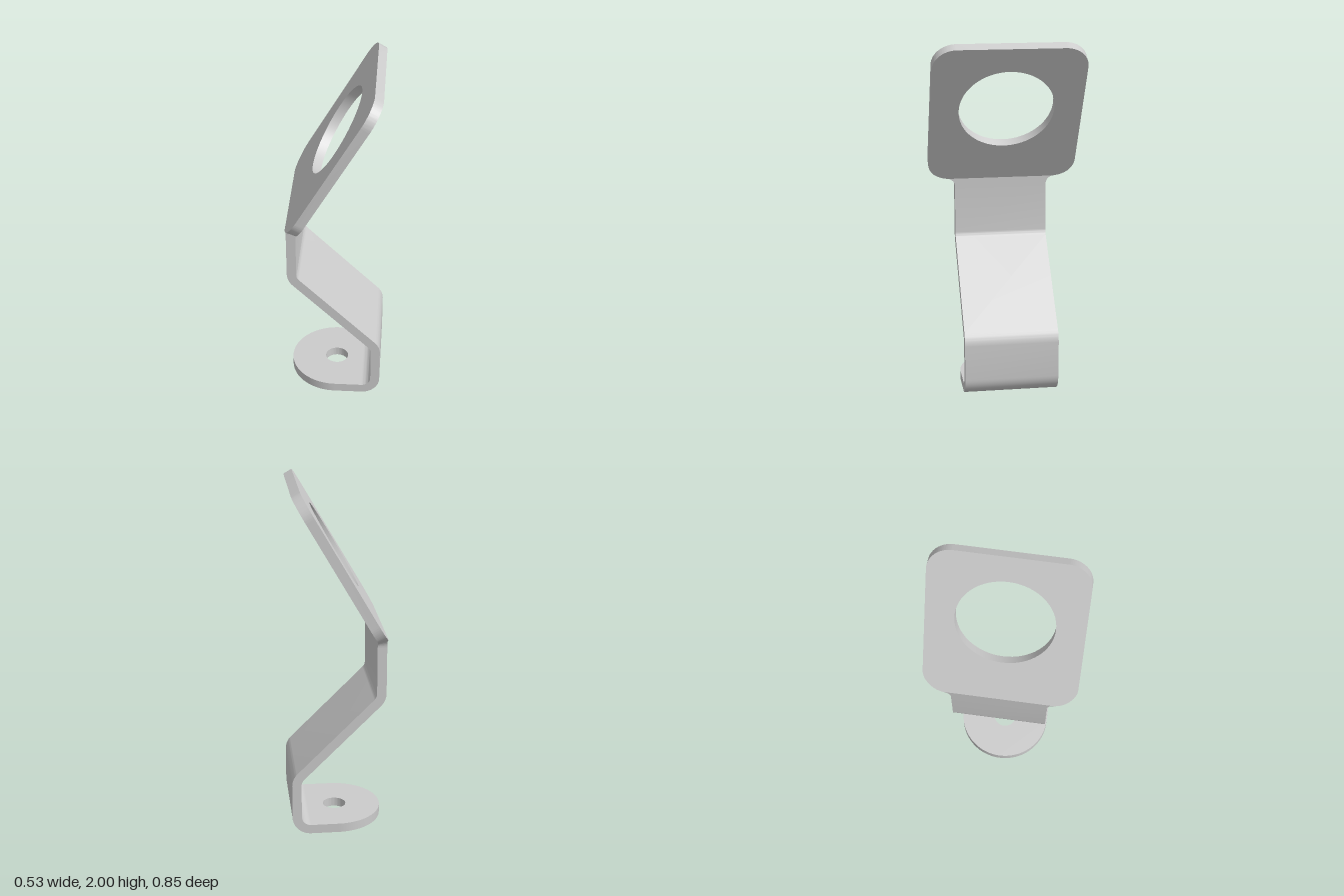
import * as THREE from 'three';
import { toCreasedNormals } from 'three/addons/utils/BufferGeometryUtils.js';

const T = 0.053, H = T / 2;      // sheet thickness and half of it
const W = 0.2665;                // half width of the strip
const BEND = 0.08;               // centreline bend radius
const XS = 0.239;                // centreline x of the upright runs
const TOP = 1.17;                // height of the sharp upper bend
const PW = 0.425, PL = 0.943, PR = 0.133; // plate half width, length, corner radius
const FIL = 0.053;               // fillet between strip and plate
const MITRE = Math.tan(Math.PI / 12);

const material = new THREE.MeshStandardMaterial({ color: 0xcccccc });

function addMesh(group, name, geometry) {
  const mesh = new THREE.Mesh(toCreasedNormals(geometry, 0.5), material);
  mesh.name = name;
  group.add(mesh);
}

// Sheet piece: shape drawn as (z, distance along u), centred on its mid-plane.
// mitre slants the edge at y = 0 towards one face.
function sheet(shape, origin, angle, mitre = 0) {
  const geo = new THREE.ExtrudeGeometry(shape, { depth: T, bevelEnabled: false, curveSegments: 32 });
  geo.translate(0, 0, -H);
  const p = geo.attributes.position;
  for (let i = 0; i < p.count; i++) {
    const fade = Math.max(0, 1 - Math.abs(p.getY(i)) / 0.05);
    p.setY(i, p.getY(i) + mitre * p.getZ(i) * fade);
  }
  const z = new THREE.Vector3(0, 0, 1);
  const u = new THREE.Vector3(Math.cos(angle), Math.sin(angle), 0);
  const m = new THREE.Matrix4().makeBasis(z, u, z.clone().cross(u));
  m.setPosition(origin[0], origin[1], 0);
  return geo.applyMatrix4(m);
}

function circleHole(x, y, r) {
  return new THREE.Path().absarc(x, y, r, 0, Math.PI * 2, true);
}

// Outline of constant thickness around a centreline with rounded corners
function ribbonShape(points) {
  const v = points.map(([x, y]) => new THREE.Vector2(x, y));
  const left = [], right = [];
  const put = (p, a) => {
    const n = new THREE.Vector2(-Math.sin(a), Math.cos(a)).multiplyScalar(H);
    left.push(p.clone().add(n));
    right.unshift(p.clone().sub(n));
  };
  const heading = (i) => Math.atan2(v[i + 1].y - v[i].y, v[i + 1].x - v[i].x);
  put(v[0], heading(0));
  for (let i = 1; i < v.length - 1; i++) {
    const a0 = heading(i - 1), turn = heading(i) - a0, s = Math.sign(turn);
    const back = BEND * Math.tan(Math.abs(turn) / 2);
    const c = new THREE.Vector2(
      v[i].x - Math.cos(a0) * back - s * Math.sin(a0) * BEND,
      v[i].y - Math.sin(a0) * back + s * Math.cos(a0) * BEND);
    for (let k = 0; k <= 12; k++) {
      const a = a0 + turn * k / 12;
      put(new THREE.Vector2(c.x + s * Math.sin(a) * BEND, c.y - s * Math.cos(a) * BEND), a);
    }
  }
  put(v[v.length - 1], heading(v.length - 2));
  return new THREE.Shape([...left, ...right]);
}

export function createModel() {
  const group = new THREE.Group();
  group.name = 'bentBracket';

  // Foot: half-round tab with a bolt hole
  const footEnd = XS - BEND;
  const foot = new THREE.Shape();
  foot.moveTo(W, footEnd);
  foot.lineTo(-W, footEnd);
  foot.lineTo(-W, 0);
  foot.absarc(0, 0, W, Math.PI, Math.PI * 2, false);
  foot.closePath();
  foot.holes.push(circleHole(0, 0, 0.067));
  addMesh(group, 'foot', sheet(foot, [0, H], 0));

  // Strip: bent ribbon from the foot up to the neck
  const neckH = 0.051;
  const strip = new THREE.ExtrudeGeometry(
    ribbonShape([[footEnd - 0.001, H], [XS, H], [XS, 0.336], [-XS, 0.814], [-XS, TOP - neckH]]),
    { depth: 2 * W, bevelEnabled: false });
  strip.translate(0, 0, -W);
  addMesh(group, 'strip', strip);

  // Neck: flares with small fillets into the plate
  const flare = Math.atan2(0.184, -0.028); // direction from fillet centre to the plate corner
  const neck = new THREE.Shape();
  neck.moveTo(-W, -neckH);
  neck.lineTo(W, -neckH);
  neck.absarc(W + FIL, -neckH, FIL, Math.PI, flare, true);
  neck.lineTo(0.312, 0);
  neck.lineTo(-0.312, 0);
  neck.absarc(-W - FIL, -neckH, FIL, Math.PI - flare, 0, true);
  addMesh(group, 'neck', sheet(neck, [-XS, TOP], Math.PI / 2, MITRE));

  // Plate: rounded rectangle with a large round opening, leaning 60 degrees
  const cx = PW - PR, start = Math.atan2(-0.184, 0.028);
  const plate = new THREE.Shape();
  plate.moveTo(-0.312, 0);
  plate.lineTo(0.312, 0);
  plate.absarc(cx, PR, PR, start, 0, false);
  plate.absarc(cx, PL - PR, PR, 0, Math.PI / 2, false);
  plate.absarc(-cx, PL - PR, PR, Math.PI / 2, Math.PI, false);
  plate.absarc(-cx, PR, PR, Math.PI, Math.PI - start, false);
  plate.closePath();
  plate.holes.push(circleHole(0, 0.523, 0.267));
  addMesh(group, 'plate', sheet(plate, [-XS, TOP], Math.PI / 3, -MITRE));

  return group;
}
